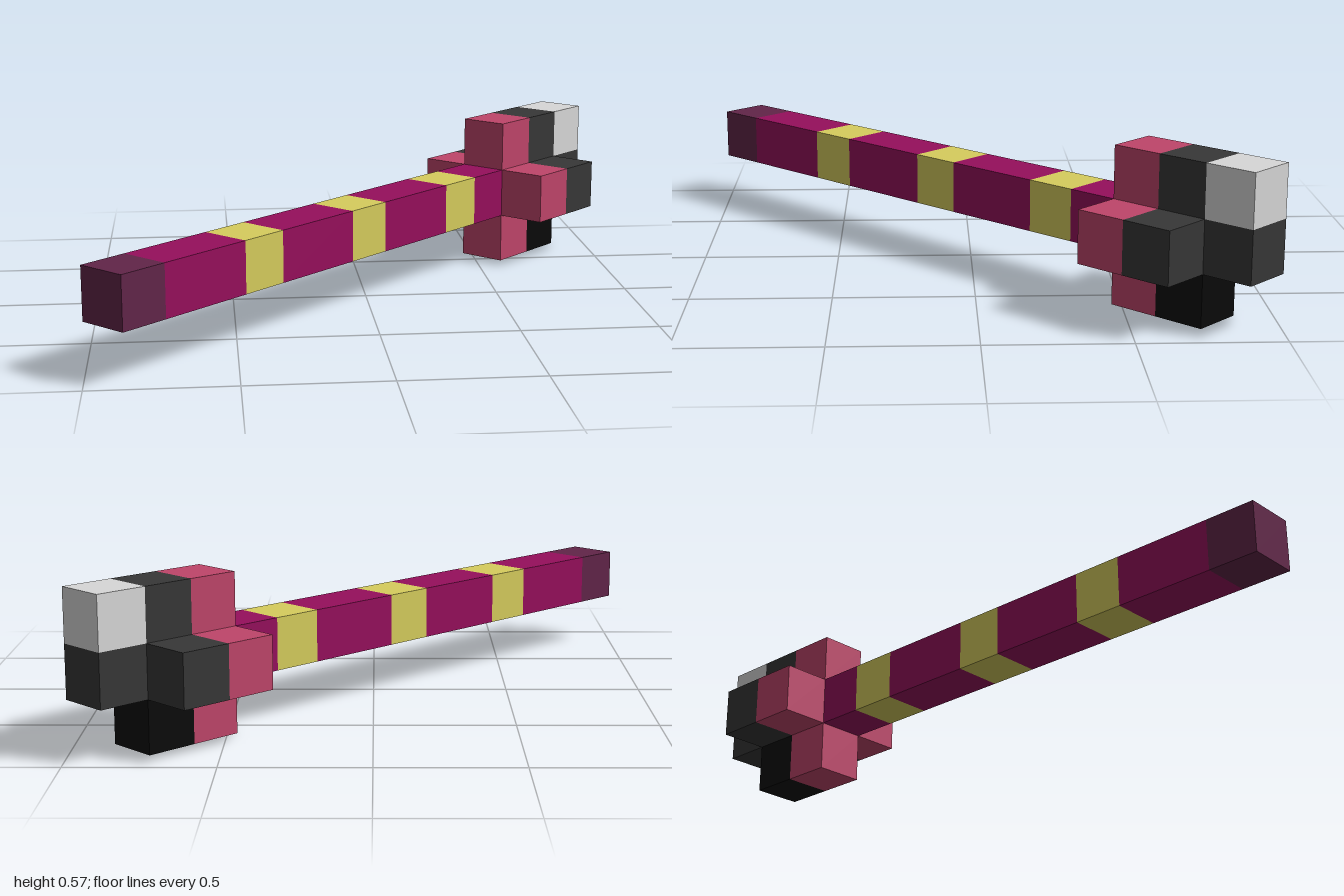
import * as THREE from 'three';

const S = Math.SQRT2 * 2 / 15; // edge of one cube cell

export function createModel() {
  const mat = (name, color) => {
    const m = new THREE.MeshStandardMaterial({ color });
    m.name = name;
    return m;
  };
  const plum = mat('dark plum', 0x622549);
  const magenta = mat('magenta', 0x960f5c);
  const yellow = mat('dull yellow', 0xd6cd5d);
  const rose = mat('rose', 0xbf456a);
  const charcoal = mat('charcoal', 0x373737);
  const black = mat('black', 0x0a0a0a);
  const silver = mat('light grey', 0xd8d8d8);

  const model = new THREE.Group();
  model.name = 'hammer';
  const body = new THREE.Group();
  body.name = 'diagonalBody';
  body.rotation.y = Math.PI / 4;
  model.add(body);

  // Block covering cells along the shaft (i), at a level (j) and side offset (k)
  const block = (name, material, i, j = 1, k = 0, length = 1) => {
    const mesh = new THREE.Mesh(new THREE.BoxGeometry(length * S, S, S), material);
    mesh.position.set((i + length / 2 - 7) * S, (j + 0.5) * S, k * S);
    mesh.name = name;
    body.add(mesh);
  };

  // Handle: pommel, then grips separated by bands
  block('pommel', plum, 0);
  for (const i of [1, 4, 7]) {
    block('grip', magenta, i, 1, 0, 2);
    block('band', yellow, i + 2);
  }
  block('neck', magenta, 10);

  // Head: plus-shaped collar
  block('collarCore', rose, 11);
  block('collarTop', rose, 11, 2);
  block('collarBottom', rose, 11, 0);
  for (const k of [-1, 1]) {
    block('collarSide', rose, 11, 1, k);
    block('headSide', charcoal, 12, 1, k);
  }

  // Head: dark core with black underside and pale tip
  block('headCore', charcoal, 12, 1, 0, 2);
  block('headTop', charcoal, 12, 2);
  block('headBottom', black, 12, 0);
  block('tip', silver, 13, 2);

  return model;
}
